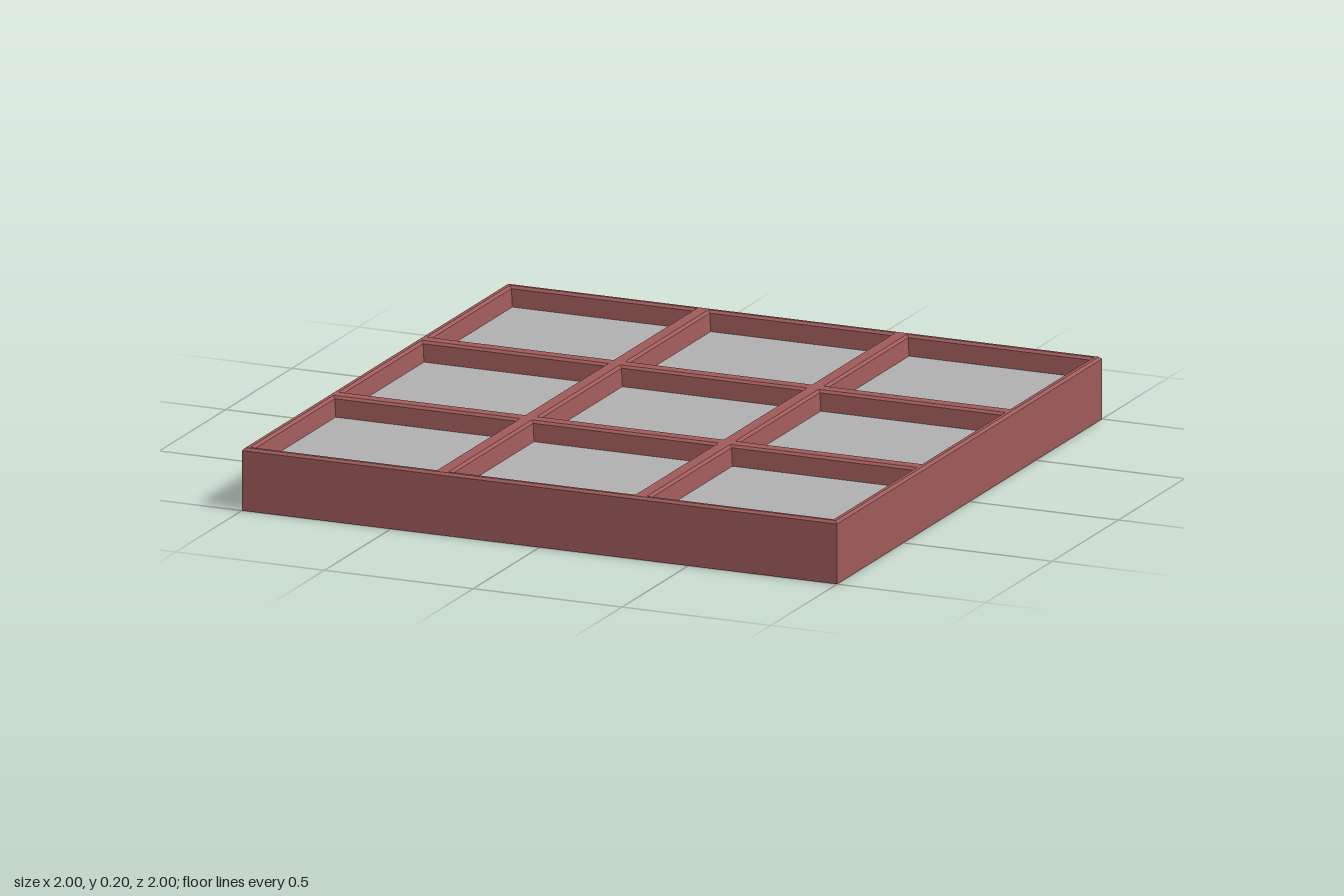
import * as THREE from 'three';

const HEIGHT = 0.2, CHAMFER = 0.008, PITCH = 2 / 3, PANE_TOP = 0.135;
const OPENING = 0.314, CELL = 0.301; // half widths of a cell at the rim and at the pane

// Square tube wall from [halfWidth, y] points: rising faces outward, falling faces inward
function squareLoft(profile) {
  const points = profile.map(([half, y]) => new THREE.Vector2(half * Math.SQRT2, y));
  return new THREE.LatheGeometry(points, 4, Math.PI / 4);
}

function square(PathType, x, y, half) {
  return new PathType([[-1, -1], [1, -1], [1, 1], [-1, 1]]
    .map(([u, v]) => new THREE.Vector2(x + u * half, y + v * half)));
}

export function createModel() {
  const model = new THREE.Group();
  const frameMaterial = new THREE.MeshStandardMaterial({ color: 0xa05b5b, flatShading: true });
  const paneMaterial = new THREE.MeshStandardMaterial({ color: 0xb1b1b1 });

  const add = (name, geometry, material, x = 0, y = 0, z = 0) => {
    const mesh = new THREE.Mesh(geometry, material);
    mesh.name = name;
    mesh.position.set(x, y, z);
    model.add(mesh);
  };

  const cells = [];
  for (const i of [-1, 0, 1]) for (const j of [-1, 0, 1]) cells.push([i * PITCH, j * PITCH]);

  // Flat lattice of bars, used for the top and the underside
  const lattice = (outer, inner) => {
    const shape = square(THREE.Shape, 0, 0, outer);
    shape.holes = cells.map(([x, z]) => square(THREE.Path, x, z, inner));
    return new THREE.ShapeGeometry(shape);
  };
  add('frameTop', lattice(1 - CHAMFER, OPENING).rotateX(-Math.PI / 2), frameMaterial, 0, HEIGHT);
  add('frameUnderside', lattice(1, CELL).rotateX(Math.PI / 2), frameMaterial);

  // Outer wall with chamfered upper rim
  add('frameOuterWall', squareLoft([[1, 0], [1, HEIGHT - CHAMFER], [1 - CHAMFER, HEIGHT]]), frameMaterial);

  // Chamfered, tapering cell walls above the panes that fill each cell flush to the underside
  const cellWall = squareLoft([[OPENING, HEIGHT], [OPENING - CHAMFER, HEIGHT - CHAMFER], [CELL, PANE_TOP]]);
  const pane = new THREE.BoxGeometry(CELL * 2, PANE_TOP, CELL * 2);
  for (const [x, z] of cells) {
    add('cellWall', cellWall, frameMaterial, x, 0, z);
    add('pane', pane, paneMaterial, x, PANE_TOP / 2, z);
  }
  return model;
}
